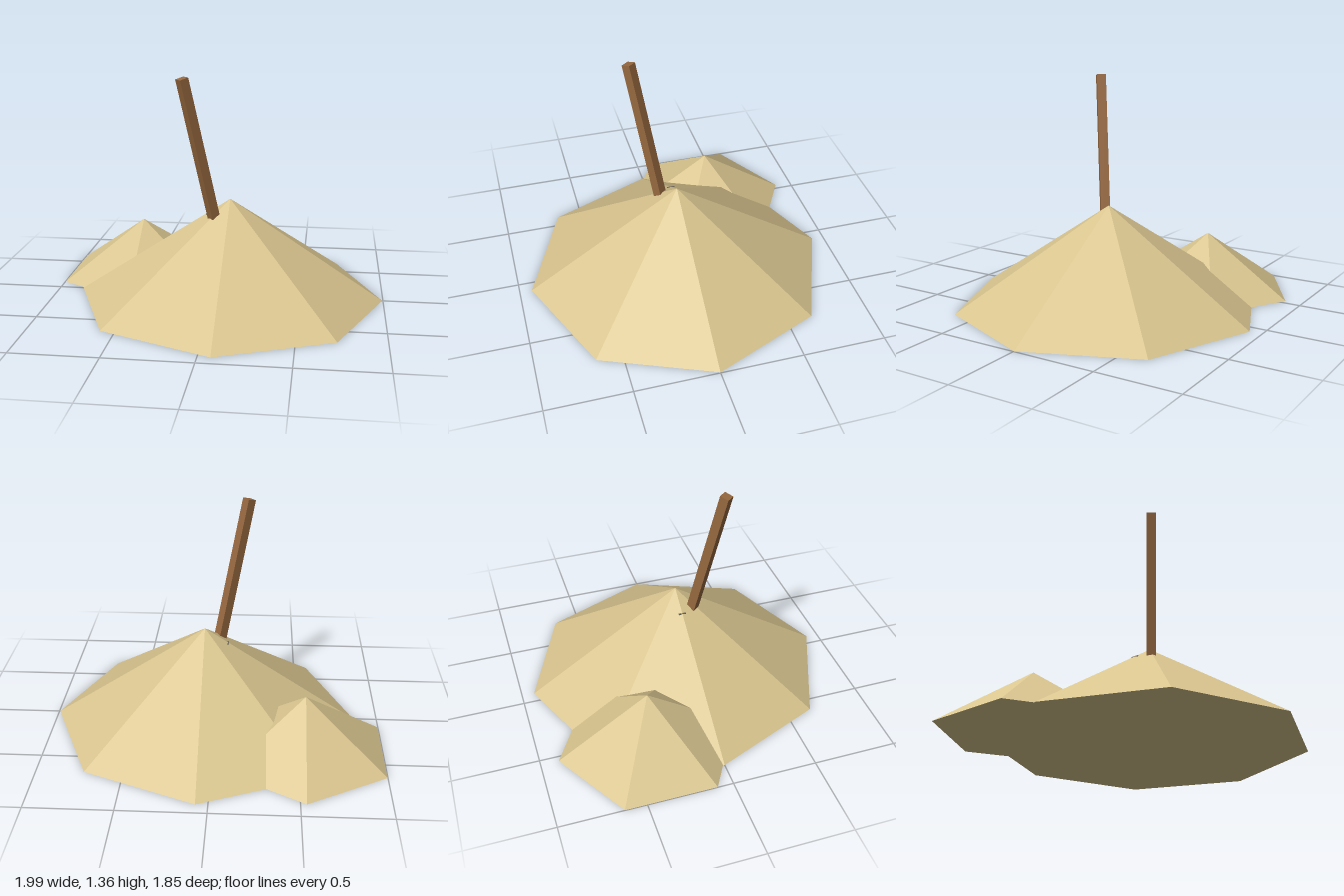
import * as THREE from 'three';

const sand = new THREE.MeshStandardMaterial({ name: 'sand', color: 0xd8c48e, flatShading: true });
const wood = new THREE.MeshStandardMaterial({ name: 'wood', color: 0x96683f, flatShading: true });
const metal = new THREE.MeshStandardMaterial({ name: 'darkMetal', color: 0x6b6658, flatShading: true });

// Faceted heap standing on the ground
function heap(name, radius, height, sides, x, z) {
  const mesh = new THREE.Mesh(new THREE.ConeGeometry(radius, height, sides), sand);
  mesh.name = name;
  mesh.position.set(x, height / 2, z);
  return mesh;
}

// Square bar between two points, with two sides kept upright along its lean
function bar(name, from, to, size, material) {
  const axis = to.clone().sub(from);
  const length = axis.length();
  axis.normalize();
  const side = new THREE.Vector3(0, 1, 0).cross(axis).normalize();
  const front = side.clone().cross(axis);
  const mesh = new THREE.Mesh(new THREE.BoxGeometry(size, length, size), material);
  mesh.name = name;
  mesh.quaternion.setFromRotationMatrix(new THREE.Matrix4().makeBasis(side, axis, front));
  mesh.position.copy(from).add(to).multiplyScalar(0.5);
  return mesh;
}

export function createModel() {
  const model = new THREE.Group();
  model.name = 'sandPile';

  model.add(heap('mainHeap', 0.926, 0.608, 8, 0.07, 0));
  model.add(heap('smallHeap', 0.535, 0.358, 6, -0.535, -0.36));

  // Leaning handle stuck into the main heap
  model.add(bar('handle', new THREE.Vector3(-0.005, 0.44, 0.07),
    new THREE.Vector3(-0.183, 1.355, 0.217), 0.055, wood));

  // Buried blade whose edge just breaks the surface
  const blade = new THREE.Mesh(new THREE.BoxGeometry(0.008, 0.05, 0.044), metal);
  blade.name = 'bladeEdge';
  blade.position.set(-0.07, 0.491, 0);
  model.add(blade);

  return model;
}
